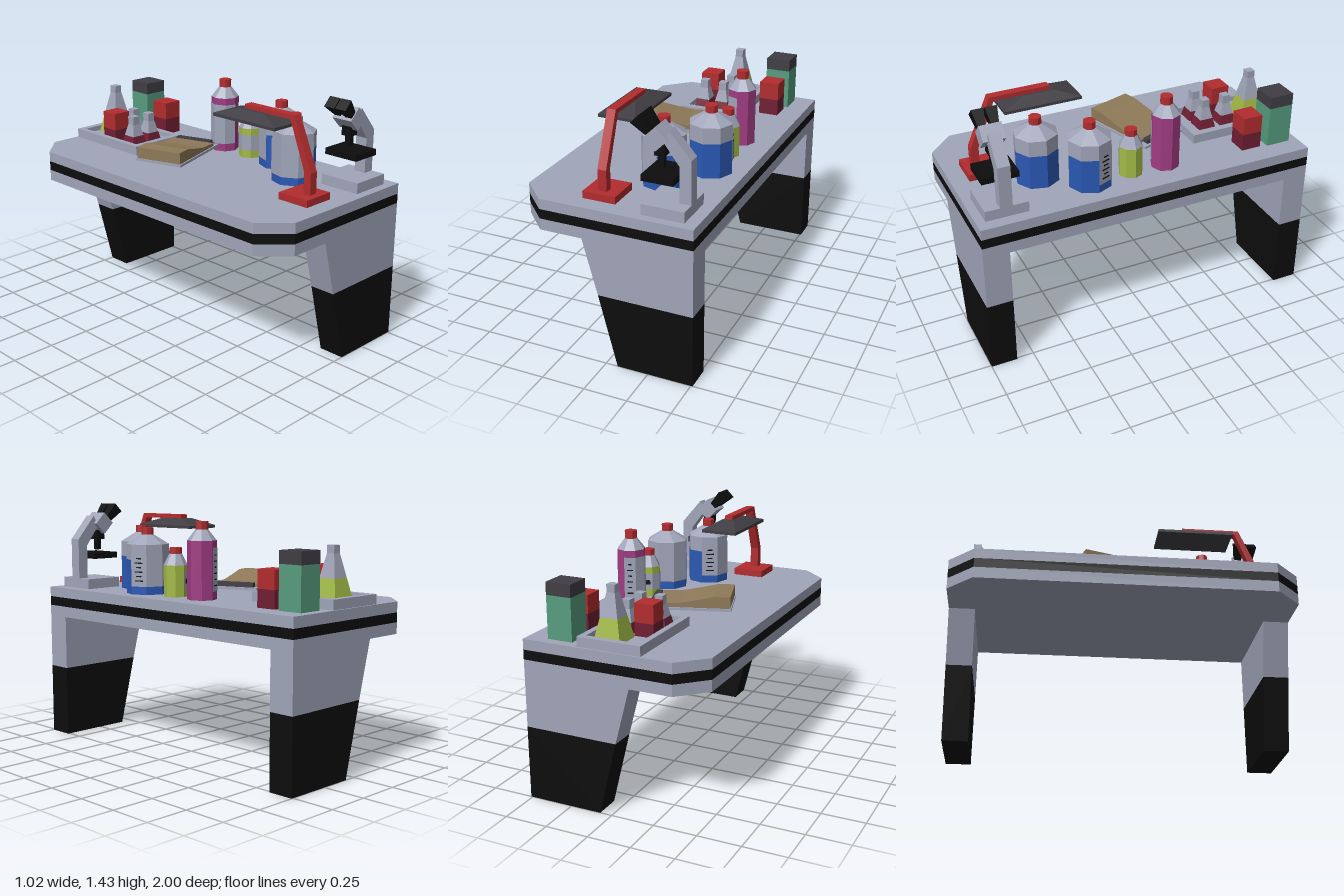
import * as THREE from 'three';

const mat = (name, color, opts = {}) => {
  const m = new THREE.MeshStandardMaterial({ color, flatShading: true, ...opts });
  m.name = name;
  return m;
};
const M = {
  gray: mat('cool gray', 0xa0a5b9, { side: THREE.DoubleSide }),
  black: mat('black', 0x0d0d0d),
  red: mat('red', 0xb22c2e),
  darkRed: mat('dark red', 0x701f33),
  dark: mat('charcoal', 0x403e44),
  blue: mat('blue', 0x2a58b4),
  lime: mat('lime', 0xa2ba46),
  magenta: mat('magenta', 0xa03c82),
  teal: mat('teal green', 0x569c7e),
  tan: mat('tan', 0x8f7a59),
};

function add(parent, name, geo, material, x = 0, y = 0, z = 0) {
  const mesh = new THREE.Mesh(geo, material);
  mesh.name = name;
  mesh.position.set(x, y, z);
  parent.add(mesh);
  return mesh;
}
function group(parent, name, x = 0, y = 0, z = 0, rotY = 0) {
  const g = new THREE.Group();
  g.name = name;
  g.position.set(x, y, z);
  g.rotation.y = rotY;
  parent.add(g);
  return g;
}
// box given by its minimum and maximum corners
function box(parent, name, material, x0, x1, y0, y1, z0, z1) {
  return add(parent, name, new THREE.BoxGeometry(x1 - x0, y1 - y0, z1 - z0), material,
    (x0 + x1) / 2, (y0 + y1) / 2, (z0 + z1) / 2);
}
const shape = (pts) => new THREE.Shape(pts.map(([a, b]) => new THREE.Vector2(a, b)));
const extrude = (s, depth) => new THREE.ExtrudeGeometry(s, { depth, bevelEnabled: false });
// closed or open n-sided drum from y0 to y1
function drum(parent, name, material, r0, r1, y0, y1, n = 8, start = 0, len = Math.PI * 2, open = false) {
  return add(parent, name, new THREE.CylinderGeometry(r1, r0, y1 - y0, n, 1, open, start, len),
    material, 0, (y0 + y1) / 2, 0);
}
// square frustum with half widths h0 (bottom) and h1 (top)
const frustum = (p, name, m, h0, h1, y0, y1) =>
  drum(p, name, m, h0 * Math.SQRT2, h1 * Math.SQRT2, y0, y1, 4, Math.PI / 4);

function buildTable(root) {
  const g = group(root, 'table');
  // chamfered slabs, stacked: gray, black stripe, gray
  const outline = [[-0.365, -1], [0.51, -1], [0.51, 1], [-0.365, 1], [-0.515, 0.85], [-0.515, -0.85]];
  [['lowerSlab', M.gray, 0.74, 0.805], ['stripe', M.black, 0.805, 0.86], ['tableTop', M.gray, 0.86, 0.92]]
    .forEach(([name, m, y0, y1]) => {
      const geo = extrude(shape(outline), y1 - y0).rotateX(Math.PI / 2);
      add(g, name, geo, m, 0, y1, 0);
    });
  // tapered end legs
  for (const z of [-1, 0.85]) {
    add(g, 'upperLeg', extrude(shape([[-0.035, 0.42], [0.51, 0.42], [0.51, 0.74], [-0.12, 0.74]]), 0.15), M.gray, 0, 0, z);
    add(g, 'lowerLeg', extrude(shape([[0.07, 0], [0.51, 0], [0.51, 0.42], [-0.035, 0.42]]), 0.15), M.black, 0, 0, z);
  }
}

function buildLamp(root) {
  const g = group(root, 'lamp');
  box(g, 'lampBase', M.red, -0.16, 0.03, 0.92, 0.96, 0.705, 0.9);
  // bent arm drawn in the z-y plane
  const arm = shape([[0.86, 0.96], [0.86, 1.08], [0.735, 1.37], [0.385, 1.37], [0.385, 1.345],
    [0.71, 1.345], [0.815, 1.08], [0.815, 0.96]]);
  add(g, 'lampArm', extrude(arm, 0.05).rotateY(-Math.PI / 2), M.red, -0.038, 0, 0);
  box(g, 'shadeRim', M.dark, -0.175, 0.042, 1.29, 1.307, 0.225, 0.678);
  const top = frustum(g, 'shadeTop', M.dark, 0.5, 0.2, 1.307, 1.346);
  top.scale.set(0.217, 1, 0.453);
  top.position.x = -0.066;
  top.position.z = 0.452;
}

function buildMicroscope(root) {
  const g = group(root, 'microscope', 0, 0, 0.83);
  box(g, 'microscopeBase', M.gray, 0.2, 0.44, 0.92, 0.98, -0.125, 0.12);
  // curved column
  const arm = shape([[0.375, 0.98], [0.44, 0.98], [0.44, 1.22], [0.32, 1.36], [0.285, 1.3], [0.375, 1.18]]);
  add(g, 'column', extrude(arm, 0.07), M.gray, 0, 0, -0.035);
  box(g, 'stage', M.black, 0.195, 0.372, 1.1, 1.135, -0.105, 0.105);
  const head = add(g, 'head', new THREE.BoxGeometry(0.092, 0.092, 0.125), M.gray, 0.256, 1.315, 0);
  head.rotation.z = Math.PI / 4;
  box(g, 'objectiveMount', M.black, 0.235, 0.293, 1.215, 1.27, -0.03, 0.03);
  box(g, 'objective', M.black, 0.25, 0.282, 1.15, 1.215, -0.016, 0.016);
  // flared eyepieces
  for (const s of [-1, 1]) {
    const eye = group(g, 'eyepiece', 0.21, 1.35, s * 0.037);
    eye.rotation.z = Math.PI / 4;
    frustum(eye, 'eyepieceTube', M.black, 0.021, 0.034, -0.01, 0.085);
  }
}

// octagonal bottle: liquid, clear upper part, half-round label with ticks, cap
function buildBottle(root, name, liquid, x, z, r, level, bodyTop, shoulderTop, capTop, rot) {
  const g = group(root, name, x, 0, z, rot);
  drum(g, 'liquid', liquid, r, r, 0.92, level);
  if (bodyTop > level) drum(g, 'clearBody', M.gray, r, r, level, bodyTop);
  drum(g, 'shoulder', M.gray, r, 0.036, bodyTop, shoulderTop);
  drum(g, 'cap', M.red, 0.036, 0.036, shoulderTop, capTop);
  const labelTop = bodyTop - 0.04;
  drum(g, 'label', M.gray, r + 0.003, r + 0.003, 0.967, labelTop, 4, Math.PI, Math.PI, true);
  const face = group(g, 'labelTicks', 0, 0, 0, Math.PI * 9 / 8);
  const apothem = (r + 0.003) * Math.cos(Math.PI / 8) + 0.002;
  for (let i = 0; i < 6; i++) {
    const w = r * (i % 2 ? 0.25 : 0.4);
    add(face, 'tick', new THREE.BoxGeometry(w, 0.006, 0.004), M.black,
      0, 1.0 + i * (labelTop - 1.04) / 5, apothem);
  }
}

// square flask: coloured lower part, gray upper cone and neck
function buildFlask(parent, name, liquid, x, z, half, level, coneTop, top, neck) {
  const y0 = 0.945;
  const g = group(parent, name, x, 0, z);
  const mid = half + (neck - half) * (level - y0) / (coneTop - y0);
  frustum(g, 'liquid', liquid, half, mid, y0, level);
  frustum(g, 'cone', M.gray, mid, neck, level, coneTop);
  frustum(g, 'neck', M.gray, neck, neck, coneTop, top);
}

function buildTray(root) {
  const g = group(root, 'tray');
  const rect = (a, b, c, d) => [[a, c], [b, c], [b, d], [a, d]];
  const rim = shape(rect(-0.185, 0.185, -0.99, -0.42));
  rim.holes.push(shape(rect(-0.15, 0.15, -0.95, -0.46)));
  add(g, 'trayRim', extrude(rim, 0.055).rotateX(Math.PI / 2), M.gray, 0, 0.975, 0).scale.z = 1;
  box(g, 'trayFloor', M.gray, -0.151, 0.151, 0.92, 0.945, -0.951, -0.459);
  // rim outline runs along z after the turn, so it stays on the back half
  buildFlask(g, 'limeFlask', M.lime, 0.035, -0.865, 0.078, 1.07, 1.2, 1.243, 0.024);
  for (const [x, z] of [[0.042, -0.7], [-0.08, -0.56], [0.042, -0.56]])
    buildFlask(g, 'redFlask', M.darkRed, x, z, 0.054, 1.0, 1.07, 1.12, 0.024);
}

// square jar in two colours
function buildJar(root, name, low, high, x, z, half, y0, split, y1) {
  const g = group(root, name, x, 0, z);
  box(g, 'jarBody', low, -half, half, y0, split, -half, half);
  box(g, 'jarLid', high, -half, half, split, y1, -half, half);
}

function buildClipboard(root) {
  const g = group(root, 'clipboard', -0.077, 0, -0.165, Math.PI / 10);
  box(g, 'board', M.gray, -0.238, 0.238, 0.967, 0.982, -0.148, 0.148);
  // paper stack curling up at one end
  const paper = shape([[-0.233, 0.982], [0.185, 0.982], [0.185, 1.0], [0.06, 1.005], [-0.04, 1.025], [-0.14, 1.048], [-0.233, 1.048]]);
  add(g, 'paper', extrude(paper, 0.28), M.tan, 0, 0, -0.14);
  box(g, 'clip', M.dark, 0.186, 0.222, 0.982, 1.008, -0.115, 0.115);
}

export function createModel() {
  const root = new THREE.Group();
  root.name = 'labBench';
  buildTable(root);
  buildLamp(root);
  buildMicroscope(root);
  buildBottle(root, 'largeBottle', M.blue, 0.145, 0.545, 0.125, 1.12, 1.21, 1.265, 1.305, 0.12);
  buildBottle(root, 'largeBottle', M.blue, 0.312, 0.3, 0.125, 1.12, 1.21, 1.265, 1.305, -Math.PI / 2);
  buildBottle(root, 'smallBottle', M.lime, 0.315, 0.055, 0.069, 1.1, 1.1, 1.165, 1.2, 0);
  buildBottle(root, 'tallBottle', M.magenta, 0.315, -0.16, 0.083, 1.25, 1.25, 1.31, 1.355, 0);
  buildTray(root);
  buildJar(root, 'redJar', M.darkRed, M.red, -0.09, -0.715, 0.056, 0.945, 1.02, 1.125);
  buildJar(root, 'redJar', M.darkRed, M.red, 0.315, -0.695, 0.06, 0.92, 1.02, 1.125);
  buildJar(root, 'tealJar', M.teal, M.dark, 0.315, -0.87, 0.074, 0.92, 1.16, 1.23);
  buildClipboard(root);
  return root;
}
